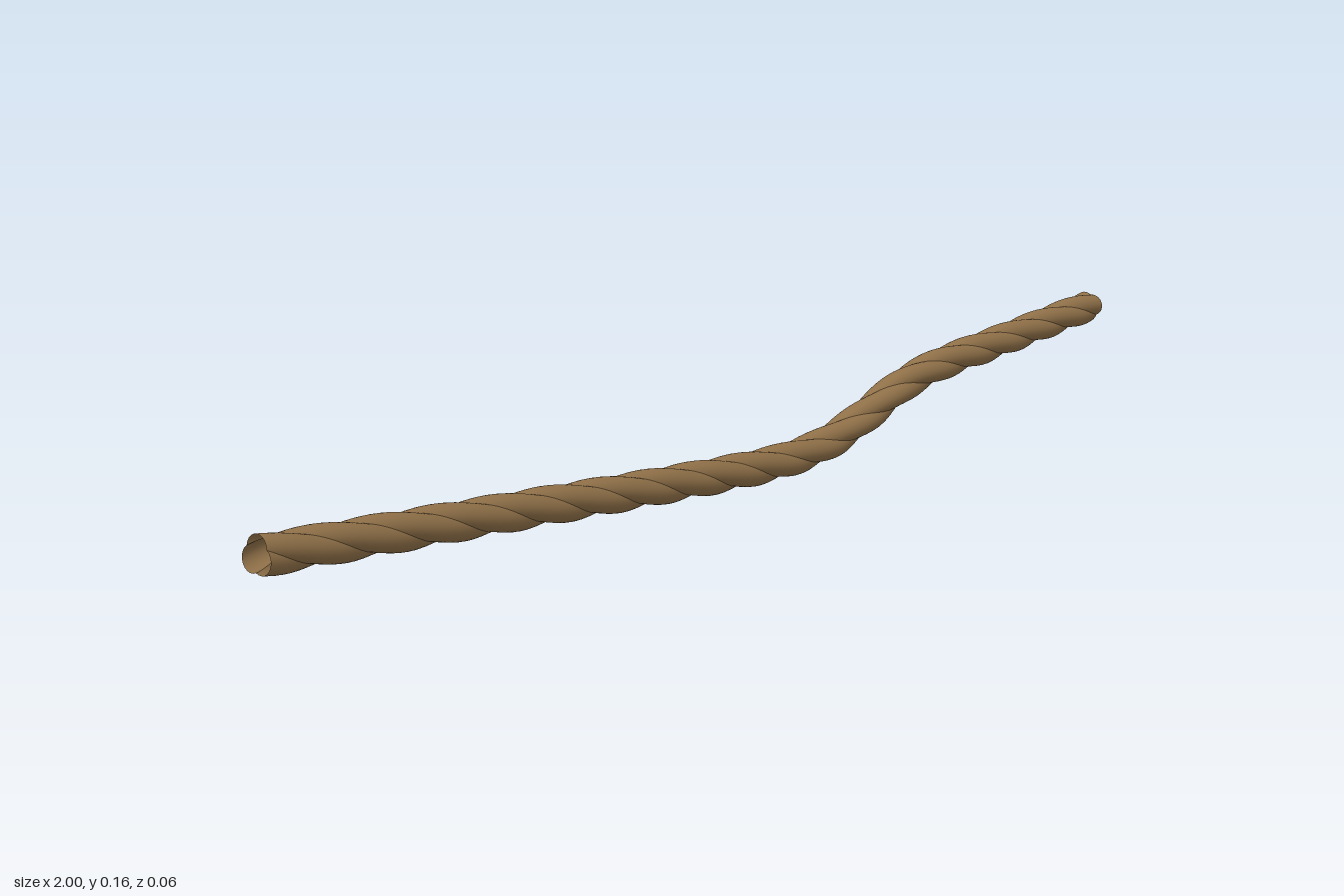
import * as THREE from 'three';
import { ParametricGeometry } from 'three/addons/geometries/ParametricGeometry.js';

const STRANDS = 3;
const TURNS = 6.2;
const STRAND_RADIUS = 0.019;
const STRAND_OFFSET = 0.01; // distance of each strand's centre from the rope's axis

// Sagging centre line of the rope
const path = new THREE.CatmullRomCurve3([
  [-0.999, 0.129], [-0.6, 0.09], [-0.2, 0.051], [0, 0.034], [0.1, 0.03], [0.2, 0.037],
  [0.3, 0.062], [0.4, 0.093], [0.5, 0.109], [0.7, 0.12], [0.999, 0.136],
].map(([x, y]) => new THREE.Vector3(x, y, 0)));

// Outer face of one strand: an arc between two grooves, swept and twisted along the path
function strandGeometry(index) {
  return new ParametricGeometry((u, v, target) => {
    const phi = (u - 0.5) * (2 * Math.PI / STRANDS);
    const radius = STRAND_OFFSET * Math.cos(phi)
      + Math.sqrt(STRAND_RADIUS ** 2 - (STRAND_OFFSET * Math.sin(phi)) ** 2);
    const angle = phi + 2 * Math.PI * (index / STRANDS + TURNS * v);
    const p = path.getPointAt(v);
    const t = path.getTangentAt(v);
    const up = radius * Math.cos(angle);
    target.set(p.x - t.y * up, p.y + t.x * up, radius * Math.sin(angle));
  }, 10, 260);
}

export function createModel() {
  const rope = new THREE.Group();
  rope.name = 'rope';
  const material = new THREE.MeshStandardMaterial({ color: 0x8f7048, side: THREE.DoubleSide });
  for (let i = 0; i < STRANDS; i++) {
    const strand = new THREE.Mesh(strandGeometry(i), material);
    strand.name = `strand${i + 1}`;
    rope.add(strand);
  }
  return rope;
}
